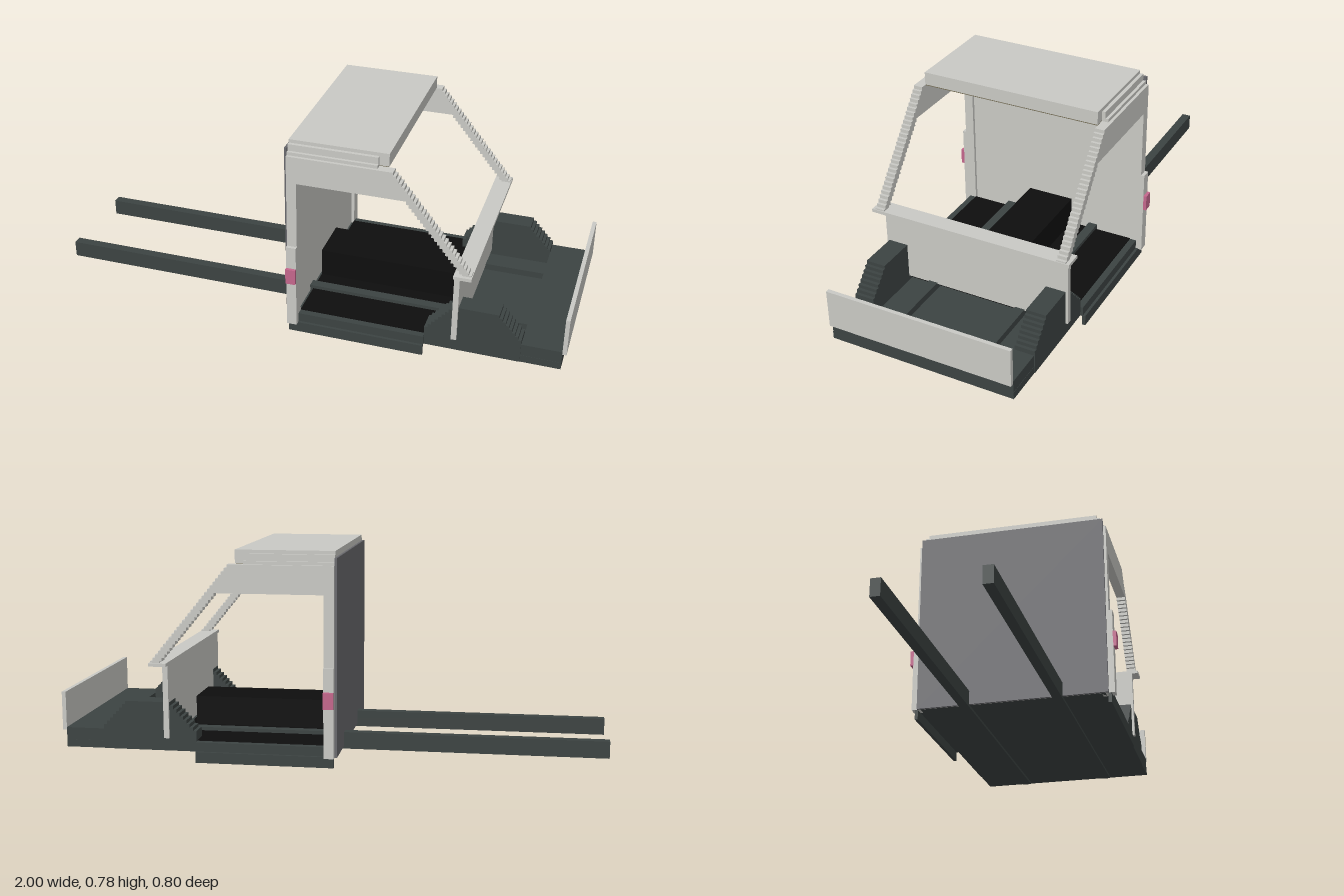
import * as THREE from 'three';

export function createModel() {
  const model = new THREE.Group();
  model.name = 'truckCab';

  const mat = (name, color) => {
    const m = new THREE.MeshStandardMaterial({ color });
    m.name = name;
    return m;
  };
  const body = mat('pale grey', 0xc9c9c4);
  const chassis = mat('dark slate', 0x3c4342);
  const black = mat('black', 0x0e0e0e);
  const pink = mat('pink', 0xc4668c);
  const rear = mat('mid grey', 0x69696d);
  const lining = mat('olive', 0x777058);

  const add = (name, geometry, material) => {
    const mesh = new THREE.Mesh(geometry, material);
    mesh.name = name;
    model.add(mesh);
    return mesh;
  };

  // Box given by its limits on each axis
  const box = (name, material, x0, x1, y0, y1, z0, z1) => {
    const g = new THREE.BoxGeometry(x1 - x0, y1 - y0, z1 - z0);
    g.translate((x0 + x1) / 2, (y0 + y1) / 2, (z0 + z1) / 2);
    return add(name, g, material);
  };
  // Full-width box, and a mirrored pair
  const wide = (name, material, x0, x1, y0, y1, z) => box(name, material, x0, x1, y0, y1, -z, z);
  const pair = (name, material, x0, x1, y0, y1, z0, z1) => {
    box(name, material, x0, x1, y0, y1, z0, z1);
    box(name, material, x0, x1, y0, y1, -z1, -z0);
  };
  // Side profile extruded on both sides
  const profilePair = (name, material, points, z0, z1) => {
    const shape = new THREE.Shape(points.map(([x, y]) => new THREE.Vector2(x, y)));
    for (const start of [z0, -z1]) {
      const g = new THREE.ExtrudeGeometry(shape, { depth: z1 - z0, bevelEnabled: false });
      g.translate(0, 0, start);
      add(name, g, material);
    }
  };
  // Staircase between two points; each step runs in x first, or in y first
  const stairs = ([x0, y0], [x1, y1], n, xFirst = true) => {
    const pts = [[x0, y0]];
    for (let i = 0; i < n; i++) {
      const xa = x0 + (x1 - x0) * i / n, xb = x0 + (x1 - x0) * (i + 1) / n;
      const ya = y0 + (y1 - y0) * i / n, yb = y0 + (y1 - y0) * (i + 1) / n;
      pts.push(xFirst ? [xb, ya] : [xa, yb], [xb, yb]);
    }
    return pts;
  };

  // Chassis: rails, underbody, bumper and side sills
  pair('chassisRail', chassis, -1, 0.96, 0.027, 0.09, 0.16, 0.195);
  wide('underbody', chassis, -0.02, 0.985, 0.037, 0.065, 0.353);
  wide('frontBumper', chassis, 0.84, 0.985, 0.037, 0.11, 0.352);
  pair('sillStep', chassis, 0.015, 0.49, 0.037, 0.074, 0.34, 0.365);
  pair('sillSkirt', chassis, -0.02, 0.49, 0, 0.04, 0.363, 0.375);
  wide('frontPlate', body, 0.985, 1, 0.1, 0.244, 0.352);

  // Stepped wheel arches
  profilePair('wheelArch', chassis, [
    [0.49, 0.037],
    ...stairs([0.49, 0.1], [0.6, 0.218], 9, false),
    ...stairs([0.745, 0.218], [0.84, 0.115], 8),
    [0.84, 0.037],
  ], 0.28, 0.355);

  // Cab floor and engine hump
  wide('cabFloor', black, 0.015, 0.59, 0.06, 0.077, 0.34);
  wide('engineHump', black, 0.015, 0.56, 0.07, 0.185, 0.09);

  // Front wall and dashboard ledge
  wide('frontWall', body, 0.59, 0.61, 0.085, 0.36, 0.364);
  wide('dashLedge', body, 0.59, 0.655, 0.355, 0.367, 0.388);

  // Rear wall with outer panel
  wide('rearWall', body, -0.022, 0.003, 0.037, 0.735, 0.345);
  wide('rearPanel', rear, -0.031, -0.022, 0.037, 0.755, 0.365);

  // Rear pillars with marker lamps
  pair('rearPillar', body, -0.022, 0.015, 0.037, 0.63, 0.34, 0.375);
  pair('rearPillarTrim', body, -0.022, 0.015, 0.037, 0.367, 0.374, 0.388);
  pair('markerLamp', pink, -0.022, 0.015, 0.22, 0.28, 0.387, 0.4);

  // Side header running into the stepped windscreen pillar
  profilePair('sideFrame', body, [
    [-0.022, 0.625], [-0.022, 0.728],
    ...stairs([0.352, 0.728], [0.652, 0.36], 29),
    ...stairs([0.618, 0.36], [0.4, 0.625], 21, false),
  ], 0.34, 0.375);

  // Roof with stepped shoulders and lining
  wide('roof', body, -0.022, 0.34, 0.73, 0.778, 0.34);
  pair('roofShoulder', body, -0.022, 0.305, 0.728, 0.765, 0.34, 0.353);
  pair('roofEdge', body, -0.022, 0.305, 0.728, 0.74, 0.353, 0.364);
  wide('roofLining', lining, 0.003, 0.335, 0.724, 0.73, 0.34);

  return model;
}
